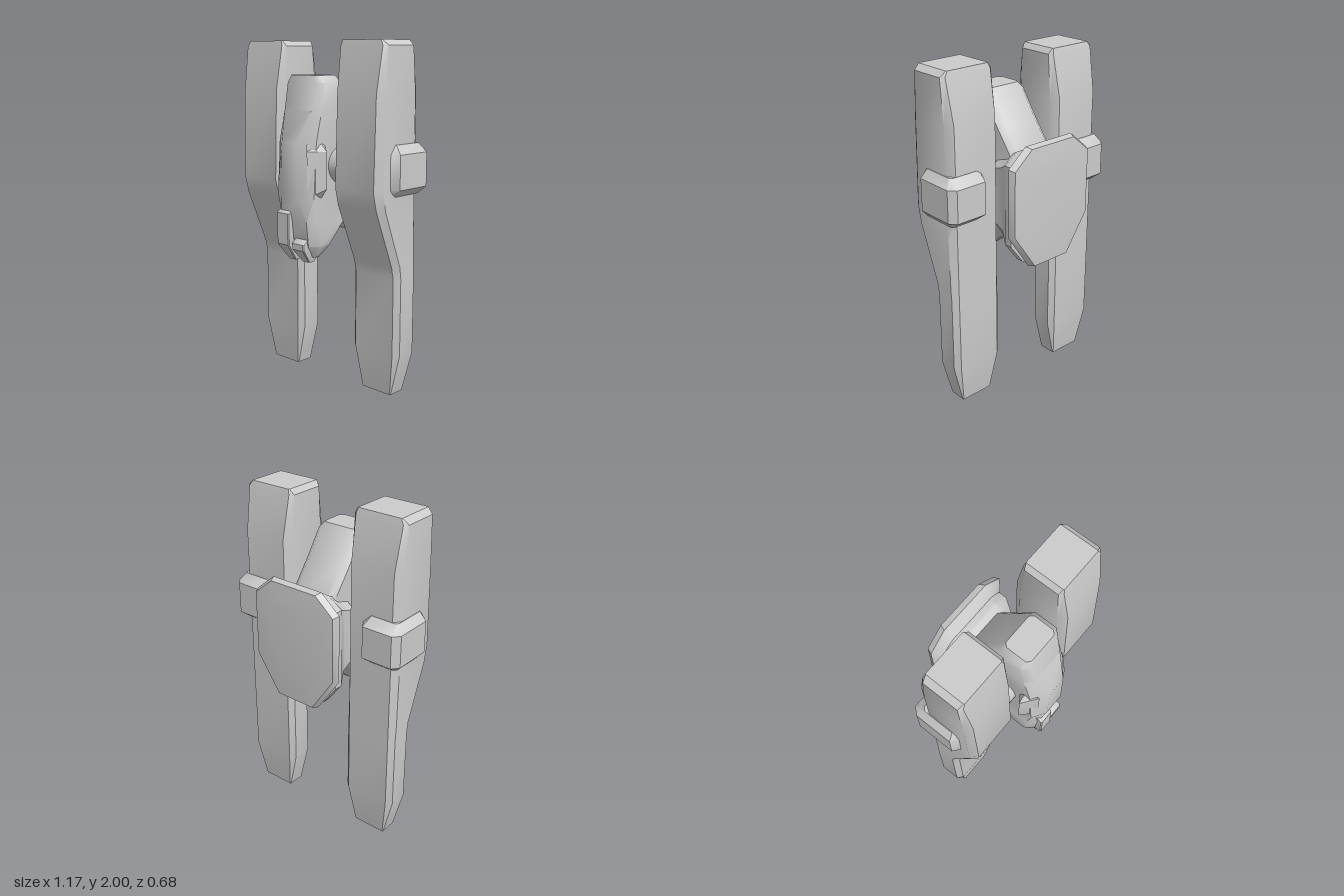
import * as THREE from 'three';
import { toCreasedNormals } from 'three/addons/utils/BufferGeometryUtils.js';

const material = new THREE.MeshStandardMaterial({ color: 0xcccccc });

// Skin a stack of rings [{ y, ring: [[x, z], ...] }], lowest first; side -1 mirrors in x.
function loft(sections, side = 1, crease = 0.6) {
  const pos = [], index = [];
  const n = sections[0].ring.length;
  for (const { y, ring } of sections) {
    const pts = ring.map(([x, z]) => [x * side, z]);
    if (side < 0) pts.reverse();
    for (const [x, z] of pts) pos.push(x, y, z);
  }
  const top = (sections.length - 1) * n;
  for (let s = 0; s < top; s += n) {
    for (let i = 0; i < n; i++) {
      const a = s + i, b = s + (i + 1) % n;
      index.push(a, a + n, b, b, a + n, b + n);
    }
  }
  for (let i = 1; i < n - 1; i++) {
    index.push(0, i, i + 1, top, top + i + 1, top + i);
  }
  const g = new THREE.BufferGeometry();
  g.setAttribute('position', new THREE.Float32BufferAttribute(pos, 3));
  g.setIndex(index);
  return toCreasedNormals(g, crease);
}

// Rectangle with cut corners; [cx, cz] cuts the +z corners, [bx, bz] the -z corners.
function cutRect(x0, x1, z0, z1, cx, cz, bx = cx, bz = cz) {
  return [
    [x1, z0 + bz], [x1, z1 - cz], [x1 - cx, z1], [x0 + cx, z1],
    [x0, z1 - cz], [x0, z0 + bz], [x0 + bx, z0], [x1 - bx, z0],
  ];
}

const section = (y, ...rect) => ({ y, ring: cutRect(...rect) });

function add(parent, name, geometry) {
  const m = new THREE.Mesh(geometry, material);
  m.name = name;
  parent.add(m);
  return m;
}

// Tall side pylon with stepped front and tapered foot
function pylon(side) {
  return loft([
    section(0, 0.27, 0.48, -0.10, 0.01, 0.004, 0.004),
    section(0.25, 0.21, 0.545, -0.135, 0.04, 0.03, 0.03),
    section(0.70, 0.21, 0.545, -0.135, 0.04, 0.03, 0.03),
    section(0.77, 0.21, 0.545, -0.135, 0.055, 0.03, 0.035),
    section(1.10, 0.21, 0.545, -0.135, 0.19, 0.03, 0.04),
    section(1.20, 0.21, 0.545, -0.135, 0.215, 0.03, 0.045),
    section(1.72, 0.21, 0.545, -0.135, 0.20, 0.03, 0.045),
    section(1.97, 0.21, 0.545, -0.088, 0.163, 0.02, 0.02),
    section(2, 0.235, 0.51, -0.08, 0.157, 0.004, 0.004),
  ], side);
}

// Block wrapping the outer rear corner of a pylon
function cornerBlock(side) {
  const outer = [[0.585, -0.15], [0.585, 0.08], [0.53, 0.125], [0.40, 0.05], [0.32, -0.125], [0.36, -0.19], [0.55, -0.19]];
  const inner = [[0.548, -0.12], [0.548, 0.07], [0.52, 0.10], [0.40, 0.05], [0.34, -0.11], [0.38, -0.137], [0.53, -0.137]];
  return loft([
    { y: 1.17, ring: inner }, { y: 1.21, ring: outer },
    { y: 1.40, ring: outer }, { y: 1.45, ring: inner },
  ], side);
}

export function createModel() {
  const model = new THREE.Group();
  model.name = 'model';

  // Mirrored side assemblies
  for (const side of [1, -1]) {
    const g = new THREE.Group();
    g.name = side > 0 ? 'leftPylon' : 'rightPylon';
    add(g, 'pylonBody', pylon(side));
    add(g, 'cornerBlock', cornerBlock(side));
    model.add(g);
  }

  // Axle joining the pylons through the body
  const axle = new THREE.CylinderGeometry(0.105, 0.105, 0.46, 24);
  axle.rotateZ(Math.PI / 2).translate(0, 1.31, 0.065);
  add(model, 'axle', axle);

  // Central body, leaning forward at the top and tapering to the chin
  add(model, 'centralBody', loft([
    section(0.79, -0.10, 0.10, 0.18, 0.25, 0.02, 0.02),
    section(0.86, -0.145, 0.145, 0.11, 0.29, 0.04, 0.05),
    section(1.00, -0.145, 0.145, -0.02, 0.305, 0.04, 0.05),
    section(1.14, -0.145, 0.145, -0.16, 0.335, 0.08, 0.05, 0.03, 0.03),
    section(1.45, -0.145, 0.145, -0.20, 0.335, 0.09, 0.07, 0.03, 0.03),
    section(1.62, -0.145, 0.145, -0.08, 0.262, 0.04, 0.04),
    section(1.77, -0.145, 0.145, 0.03, 0.232, 0.035, 0.035),
    section(1.81, -0.11, 0.11, 0.06, 0.222, 0.02, 0.02),
  ], 1, 0.8));

  // Wedge cheeks either side of the body
  for (const side of [1, -1]) {
    const wedge = (t) => [[0.145 + 0.045 * t, 0.23], [0.11, 0.305], [0.10, 0.23], [0.13, 0.19]];
    add(model, 'cheek', loft([
      { y: 1.14, ring: wedge(0.1) }, { y: 1.19, ring: wedge(1) },
      { y: 1.40, ring: wedge(1) }, { y: 1.44, ring: wedge(0.1) },
    ], side));
  }

  // Front tabs of unequal height, each with a chamfered toe: [x0, x1, top, knee, front]
  for (const [x0, x1, top, knee, front] of [[-0.105, -0.01, 1.065, 0.86, 0.335], [0.005, 0.10, 0.90, 0.84, 0.325]]) {
    add(model, 'frontTab', loft([
      section(0.76, x0 + 0.02, x1 - 0.02, 0.22, 0.26, 0.005, 0.005),
      section(knee, x0, x1, 0.15, front, 0.006, 0.006),
      section(top - 0.025, x0, x1, 0.18, front, 0.006, 0.006),
      section(top, x0, x1, 0.20, front - 0.03, 0.006, 0.006),
    ]));
  }

  // Rear parts are lofted along z, so ring depth is minus the height
  const rear = (z, w, low, high, cx, cTop, cLow, bx = cx) =>
    section(z, -w, w, -high, -low, cx, cLow, bx, cTop);

  // Bracket between body and rear plate
  add(model, 'rearBracket', loft([
    rear(-0.25, 0.23, 0.87, 1.52, 0.09, 0.06, 0.12),
    rear(-0.20, 0.23, 0.87, 1.52, 0.09, 0.06, 0.12),
    rear(-0.13, 0.19, 0.93, 1.48, 0.07, 0.06, 0.11),
    rear(-0.04, 0.19, 0.98, 1.45, 0.07, 0.06, 0.11),
  ]).rotateX(Math.PI / 2));

  // Rear plate with a flared rim and gently domed back
  add(model, 'rearPlate', loft([
    rear(-0.34, 0.18, 0.98, 1.48, 0.09, 0.07, 0.16, 0.07),
    rear(-0.332, 0.275, 0.87, 1.57, 0.15, 0.10, 0.22, 0.12),
    rear(-0.295, 0.29, 0.86, 1.58, 0.15, 0.10, 0.22, 0.12),
    rear(-0.235, 0.22, 0.88, 1.51, 0.11, 0.08, 0.18, 0.09),
  ]).rotateX(Math.PI / 2));

  return model;
}
